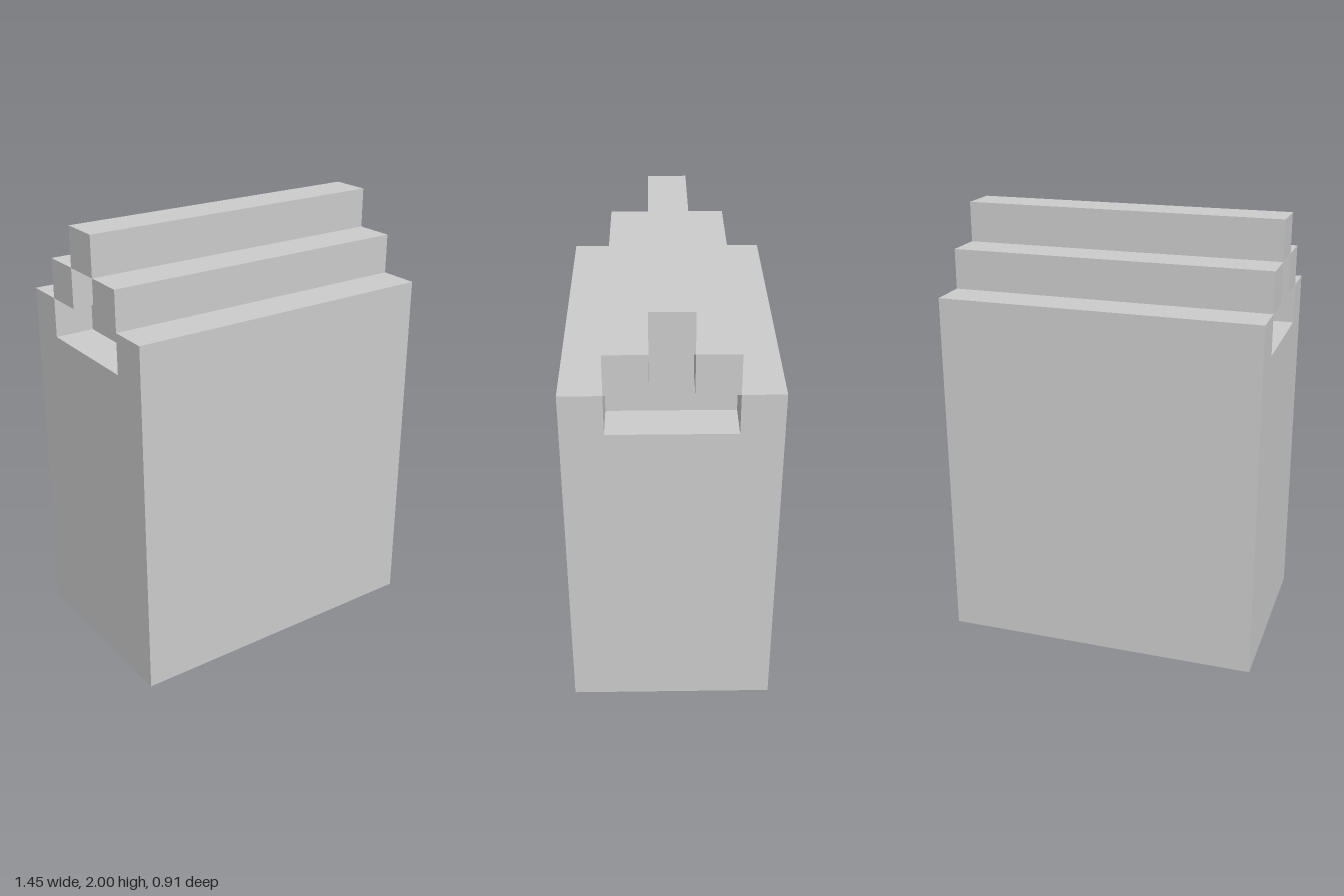
import * as THREE from 'three';

// One block of the stepped building grid; the whole model is 11 blocks tall
const U = 2 / 11;
const LENGTH = 8;
const CORE_LENGTH = 6; // filling stops one block short of each gable end

export function createModel() {
  const group = new THREE.Group();
  const material = new THREE.MeshStandardMaterial({ color: 0xcccccc, flatShading: true });

  // Box running along x, given its height range and depth range in blocks
  function beam(name, length, y0, y1, z0, z1) {
    const geometry = new THREE.BoxGeometry(length * U, (y1 - y0) * U, (z1 - z0) * U);
    geometry.translate(0, (y0 + y1) / 2 * U, (z0 + z1) / 2 * U);
    const mesh = new THREE.Mesh(geometry, material);
    mesh.name = name;
    group.add(mesh);
  }

  // Main body
  beam('body', LENGTH, 0, 8, -2.5, 2.5);

  // Roof steps, mirrored front and back, rising to the ridge
  for (const [side, s] of [['front', 1], ['back', -1]]) {
    beam(side + 'LowerStep', LENGTH, 8, 9, s * 2 - 0.5, s * 2 + 0.5);
    beam(side + 'UpperStep', LENGTH, 9, 10, s - 0.5, s + 0.5);
  }
  beam('ridge', LENGTH, 10, 11, -0.5, 0.5);

  // Recessed filling beneath the roof steps
  beam('lowerCore', CORE_LENGTH, 8, 9, -1.5, 1.5);
  beam('upperCore', CORE_LENGTH, 9, 10, -0.5, 0.5);

  return group;
}
